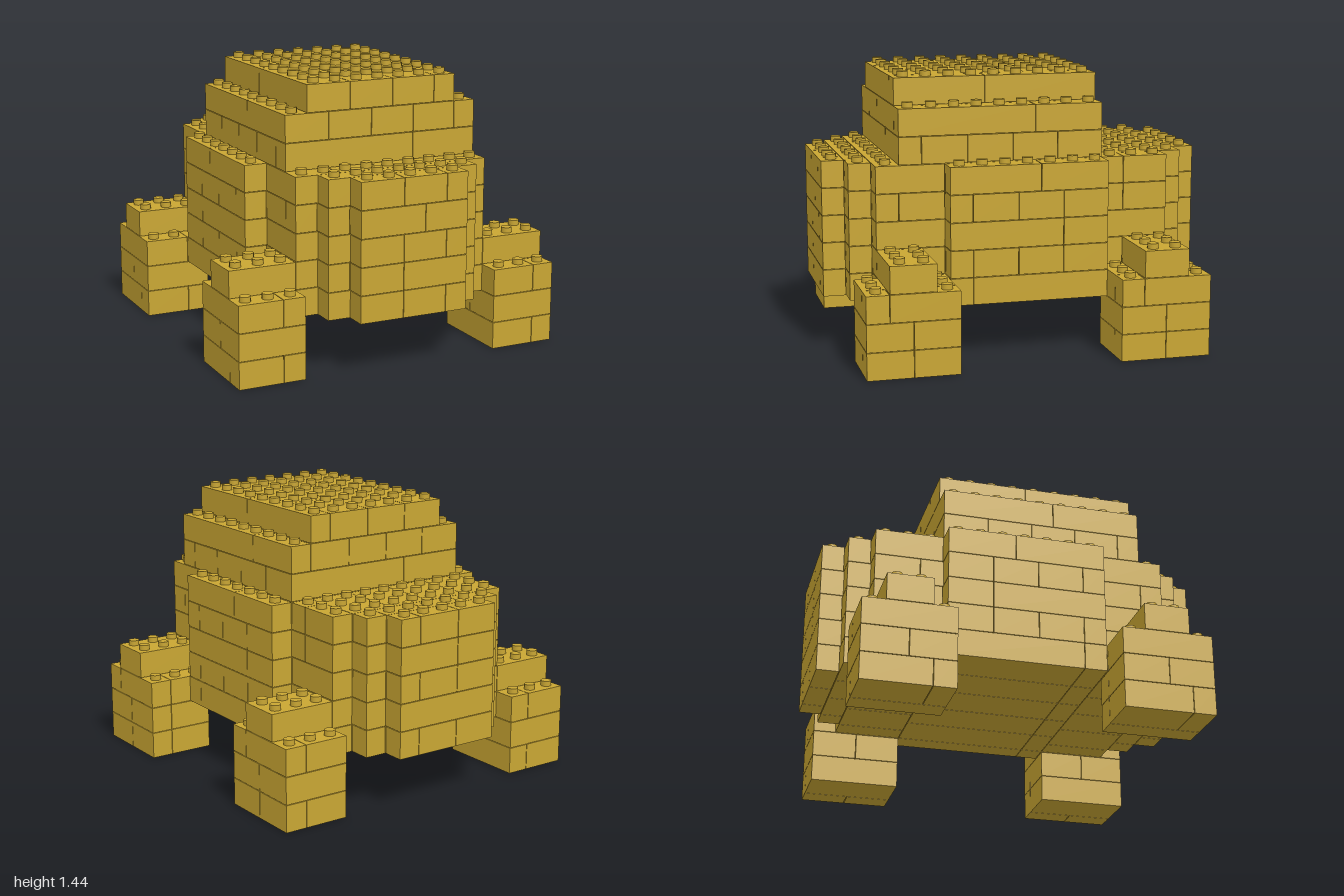
import * as THREE from 'three';
import { mergeGeometries } from 'three/addons/utils/BufferGeometryUtils.js';

const P = 2 / 17;       // stud pitch
const H = 0.1412;       // brick height
const GAP = 0.003;      // seam between bricks
const STUD_R = 0.028, STUD_H = 0.028;

// Footprints in stud units: [x0, x1, z0, z1]
const bodyPlan = [
  [-2.5, 2.5, -8.5, 8.5],
  [-3.5, 3.5, -7.5, 7.5],
  [-4.5, 4.5, -6.5, 6.5],
  [-5.5, 5.5, -3.5, 3.5],
];
const upperPlan = [[-4.5, 4.5, -3.5, 5.5]];
const roofPlan = [[-3.5, 3.5, -3.5, 5.5]];

const covers = (plan, x, z) =>
  !!plan && plan.some(([a, b, c, d]) => x > a && x < b && z > c && z < d);

// Split one layer into bricks, two studs wide at most, running along x or z
function layBricks(plan, level, alongX, out) {
  const used = new Set();
  const free = (x, z) => covers(plan, x, z) && !used.has(x + ',' + z);
  const cell = (u, v) => (alongX ? [u, v] : [v, u]);
  for (let v = -8; v <= 8; v++) {
    let first = true;
    for (let u = -8; u <= 8; u++) {
      if (!free(...cell(u, v))) continue;
      // stagger the first seam from layer to layer
      const limit = first ? 2 + ((level * 3 + v + 8) % 5) : 6;
      first = false;
      let len = 1;
      while (len < limit && free(...cell(u + len, v))) len++;
      let wide = 2;
      for (let i = 0; i < len; i++) if (!free(...cell(u + i, v + 1))) wide = 1;
      for (let i = 0; i < len; i++)
        for (let j = 0; j < wide; j++) used.add(cell(u + i, v + j).join(','));
      const [sx, sz] = cell(len, wide);
      const [cx, cz] = cell(u + (len - 1) / 2, v + (wide - 1) / 2);
      const brick = new THREE.BoxGeometry(sx * P - GAP, H - GAP, sz * P - GAP);
      brick.translate(cx * P, (level + 0.5) * H, cz * P);
      out.push(brick);
    }
  }
}

// Studs on every cell that the next layer leaves open
function layStuds(plan, above, level, out) {
  for (let x = -8; x <= 8; x++)
    for (let z = -8; z <= 8; z++) {
      if (!covers(plan, x, z) || covers(above, x, z)) continue;
      const stud = new THREE.CylinderGeometry(STUD_R, STUD_R, STUD_H, 16);
      stud.translate(x * P, (level + 1) * H + STUD_H / 2 - GAP / 2, z * P);
      out.push(stud);
    }
}

// Stack of layers; "above" is the plan resting on the last layer
function buildStack(name, plans, startLevel, above, material) {
  const bricks = [], studs = [];
  plans.forEach((plan, i) => {
    const level = startLevel + i;
    layBricks(plan, level, level % 2 === 1 && plans.length > 1, bricks);
    layStuds(plan, plans[i + 1] || above, level, studs);
  });
  const group = new THREE.Group();
  group.name = name;
  const add = (part, list) => {
    if (!list.length) return;
    const mesh = new THREE.Mesh(mergeGeometries(list), material);
    mesh.name = part;
    group.add(mesh);
  };
  add(name + 'Bricks', bricks);
  add(name + 'Studs', studs);
  return group;
}

export function createModel() {
  const model = new THREE.Group();
  model.name = 'brickModel';
  const gold = new THREE.MeshStandardMaterial({ color: 0xc9a633 });
  gold.name = 'gold';

  // Stepped main body, upper block and roof
  model.add(buildStack('body', Array(5).fill(bodyPlan), 2, upperPlan, gold));
  model.add(buildStack('upperBody', [upperPlan, upperPlan], 7, roofPlan, gold));
  model.add(buildStack('roof', [roofPlan], 9, null, gold));

  // Four legs, each three layers tall with a narrower cap
  for (const sx of [1, -1])
    for (const sz of [1, -1]) {
      const rect = (z0, z1) => [[
        sx > 0 ? 4.5 : -7.5, sx > 0 ? 7.5 : -4.5,
        sz > 0 ? z0 : -z1, sz > 0 ? z1 : -z0,
      ]];
      const leg = rect(3.5, 7.5), cap = rect(4.5, 6.5);
      const name = (sz > 0 ? 'front' : 'back') + (sx > 0 ? 'Left' : 'Right') + 'Leg';
      model.add(buildStack(name, [leg, leg, leg, cap], 0, null, gold));
    }
  return model;
}
